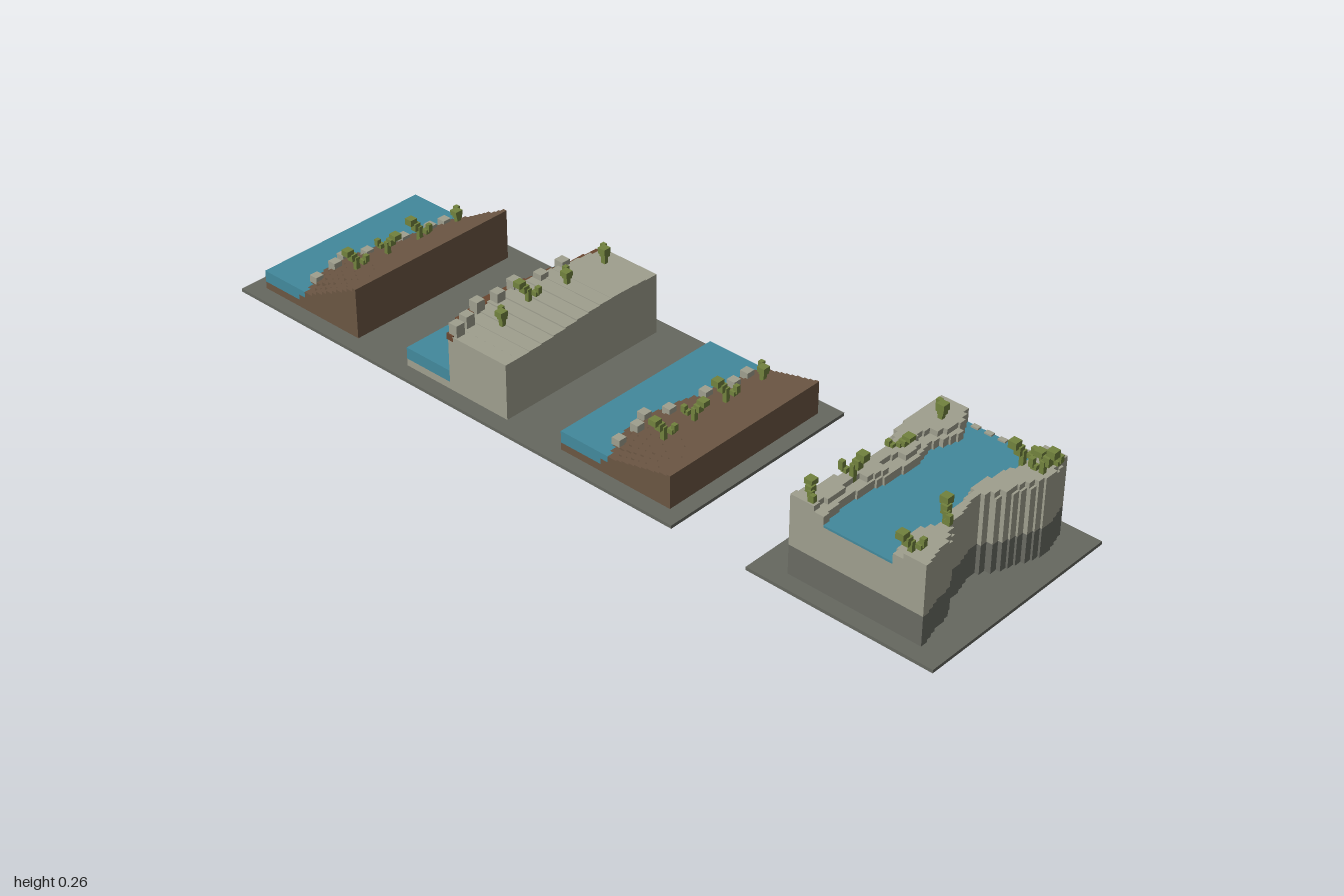
import * as THREE from 'three';

const mat = (name, color) => {
  const m = new THREE.MeshStandardMaterial({ color });
  m.name = name;
  return m;
};

export function createModel() {
  const root = new THREE.Group();
  root.name = 'riverbankSet';
  const base = mat('base grey', 0x666860);
  const water = mat('water blue', 0x42899c);
  const soil = mat('soil brown', 0x6b5643);
  const rust = mat('rim brown', 0x6a4630);
  const stone = mat('pale stone', 0x9f9f8e);
  const rock = mat('dark stone', 0x696b63);
  const leaf = mat('plant green', 0x72823e);

  const Z = 0.235, ROWS = 26;
  const hash = (n) => {
    const s = Math.sin(n * 127.1 + 11.7) * 43758.5453;
    return s - Math.floor(s);
  };
  const box = (parent, name, m, w, h, d, x, y, z) => {
    const mesh = new THREE.Mesh(new THREE.BoxGeometry(w, h, d), m);
    mesh.position.set(x, y, z);
    mesh.name = name;
    parent.add(mesh);
  };
  // Edge curve through values spread evenly from back to front
  const curve = (vals) => (z) => {
    const t = Math.min(Math.max((z + Z) / (2 * Z), 0), 0.9999) * (vals.length - 1);
    const i = Math.floor(t), f = t - i, s = f * f * (3 - 2 * f);
    return vals[i] + (vals[i + 1] - vals[i]) * s;
  };
  const flat = (x) => () => x;
  const shift = (f, d) => (z) => f(z) + d;
  // Blocky stepped outline between two edges, extruded from y0 to y1
  const slab = (parent, name, m, left, right, y0, y1) => {
    const pts = [];
    const put = (x, z) => {
      const l = pts[pts.length - 1];
      if (!l || Math.abs(l.x - x) > 1e-6 || Math.abs(l.y + z) > 1e-6) pts.push(new THREE.Vector2(x, -z));
    };
    const q = (v) => Math.round(v * 200) / 200;
    const row = (i) => -Z + (2 * Z * i) / ROWS;
    for (let i = 0; i < ROWS; i++) {
      const x = q(left(row(i + 0.5)));
      put(x, row(i)); put(x, row(i + 1));
    }
    for (let i = ROWS - 1; i >= 0; i--) {
      const x = q(right(row(i + 0.5)));
      put(x, row(i + 1)); put(x, row(i));
    }
    const g = new THREE.ExtrudeGeometry(new THREE.Shape(pts), { depth: y1 - y0, bevelEnabled: false });
    g.rotateX(-Math.PI / 2);
    const mesh = new THREE.Mesh(g, m);
    mesh.position.y = y0;
    mesh.name = name;
    parent.add(mesh);
  };
  // Small branching plant made of cubes
  const plant = (parent, x, y, z, h, seed) => {
    const g = new THREE.Group();
    g.name = 'plant';
    const c = 0.011, sx = hash(seed) > 0.5 ? 1 : -1, sz = hash(seed + 5) > 0.5 ? 1 : -1;
    box(g, 'stem', leaf, c, h * 0.65, c, 0, h * 0.325, 0);
    box(g, 'bend', leaf, 0.016, h * 0.3, 0.016, sx * 0.006, h * 0.65, sz * 0.006);
    box(g, 'crown', leaf, 0.02, h * 0.25, 0.02, sx * 0.012, h * 0.875, sz * 0.014);
    box(g, 'arm', leaf, 0.014, c, 0.012, -sx * 0.012, h * 0.45, -sz * 0.01);
    box(g, 'armTip', leaf, c, h * 0.3, c, -sx * 0.017, h * 0.6, -sz * 0.014);
    g.position.set(x, y, z);
    parent.add(g);
  };

  // Ground plates
  box(root, 'largeBase', base, 1.33, 0.008, 0.55, -0.335, 0.004, 0);
  box(root, 'smallBase', base, 0.47, 0.008, 0.55, 0.765, 0.004, 0);

  // Terraced soil banks with water on the left
  const terraces = (name, x0, top) => {
    const g = new THREE.Group();
    g.name = name;
    const x1 = x0 + 0.31;
    const shore = curve([0.15, 0.137, 0.125, 0.105, 0.085, 0.1, 0.137].map((v) => v + x0));
    slab(g, 'bed', soil, flat(x0), flat(x1), 0.008, 0.026);
    for (const [d, a, b] of [[-0.02, 0.026, 0.04], [0, 0.04, 0.055]]) {
      slab(g, 'water', water, flat(x0), shift(shore, d), a, b);
      slab(g, 'lowerBank', soil, shift(shore, d), flat(x1), a, b);
    }
    const n = 9, h = (top - 0.055) / n;
    const edge = (k) => (z) => {
      const t = k / n;
      const e = shore(z) * (1 - t) + (x1 - 0.01) * t + 0.007 * Math.sin(z * 26 + 1.5) * (1 - t);
      return Math.min(e, x1 - 0.006);
    };
    for (let k = 1; k <= n; k++) {
      slab(g, 'terrace', soil, edge(k), flat(x1), 0.055 + (k - 1) * h, 0.055 + k * h);
    }
    const groundAt = (x, z) => {
      let y = 0.055;
      for (let k = 1; k <= n; k++) if (edge(k)(z) < x) y = 0.055 + k * h;
      return y;
    };
    [-0.185, -0.135, -0.07, 0.03, 0.08, 0.125, 0.185].forEach((z, i) => {
      const x = shore(z) + (i % 2 ? 0.022 : 0.01);
      box(g, 'shoreStone', stone, 0.022, 0.026, 0.022, x, groundAt(x, z) + 0.004, z);
    });
    [-0.19, -0.07, 0.03, 0.125].forEach((z, i) => {
      const x = x0 + 0.192;
      plant(g, x, groundAt(x, z) - 0.004, z, 0.05 + 0.012 * hash(i + 3), i + 2);
    });
    root.add(g);
  };
  terraces('steepBank', -0.96, 0.135);
  terraces('shallowBank', -0.02, 0.09);

  // Stone cliff rising out of the water
  const cliff = new THREE.Group();
  cliff.name = 'cliffBank';
  const cx0 = -0.49, cx1 = -0.18;
  const face = curve([-0.36, -0.368, -0.382, -0.395, -0.4, -0.39, -0.355]);
  slab(cliff, 'bed', stone, flat(cx0), flat(cx1), 0.008, 0.026);
  slab(cliff, 'water', water, flat(cx0), face, 0.026, 0.055);
  slab(cliff, 'cliff', stone, face, flat(cx1), 0.026, 0.135);
  slab(cliff, 'cliffRim', rust, shift(face, -0.004), shift(face, 0.016), 0.135, 0.15);
  slab(cliff, 'cliffCore', stone, shift(face, 0.016), flat(cx1), 0.135, 0.145);
  // Gently rolling top in strips
  const cliffTop = (z) => 0.156 + 0.009 * Math.cos((z + 0.11) * 10);
  const strips = 13, sd = (2 * Z) / strips;
  for (let i = 0; i < strips; i++) {
    const z = -Z + (i + 0.5) * sd, y = cliffTop(z), a = face(z) + 0.018;
    box(cliff, 'topStrip', stone, cx1 - a, y - 0.145, sd, (a + cx1) / 2, (y + 0.145) / 2, z);
  }
  [-0.12, -0.05, 0.01, 0.07, 0.125, 0.18, 0.22].forEach((z, i) => {
    box(cliff, 'edgeStone', stone, 0.024, 0.03, 0.024, face(z) + 0.016 + 0.014 * (i % 2), 0.162, z);
  });
  [[-0.295, -0.19], [-0.295, -0.07], [-0.315, 0.03], [-0.295, 0.13]].forEach(([x, z], i) => {
    plant(cliff, x, cliffTop(z) - 0.006, z, 0.045 + 0.012 * hash(i + 8), i + 7);
  });
  root.add(cliff);

  // Raised river channel between two stone banks
  const river = new THREE.Group();
  river.name = 'riverBlock';
  const outL = curve([0.605, 0.603, 0.615, 0.64, 0.638, 0.615, 0.603]);
  const outR = curve([0.925, 0.94, 0.915, 0.875, 0.89, 0.925, 0.94]);
  const inL = curve([0.68, 0.71, 0.685, 0.7, 0.695, 0.685, 0.68, 0.69]);
  const inR = curve([0.86, 0.865, 0.85, 0.845, 0.86, 0.87, 0.85, 0.86]);
  slab(river, 'lowerRock', rock, outL, outR, 0.008, 0.08);
  slab(river, 'upperRock', stone, outL, outR, 0.08, 0.165);
  slab(river, 'water', water, inL, inR, 0.165, 0.17);
  slab(river, 'leftBank', stone, outL, inL, 0.165, 0.19);
  slab(river, 'rightBank', stone, inR, outR, 0.165, 0.19);
  const jag = (z, s) => 0.035 * hash(Math.floor((z + Z) / 0.055) + s) * 0.9;
  slab(river, 'leftCap', stone, (z) => outL(z) + jag(z, 1) * 0.3, (z) => inL(z) - jag(z, 20), 0.19, 0.203);
  slab(river, 'rightCap', stone, (z) => Math.min(inR(z) + jag(z, 40), outR(z) - 0.015),
    (z) => outR(z) - jag(z, 60) * 0.2, 0.19, 0.203);
  for (let i = 0; i < 5; i++) {
    box(river, 'weirStone', stone, 0.018, 0.008, 0.012, 0.705 + i * 0.034, 0.17, -0.229);
  }
  [[0.66, -0.17, 0.252], [0.66, -0.035, 0.228], [0.655, 0.105, 0.256], [0.64, 0.215, 0.235],
    [0.87, -0.16, 0.255], [0.922, -0.155, 0.256], [0.915, -0.185, 0.24], [0.885, 0.105, 0.257],
    [0.89, 0.218, 0.25]].forEach(([x, z, top], i) => {
    plant(river, x, 0.186, z, top - 0.186, i + 13);
  });
  root.add(river);

  return root;
}
